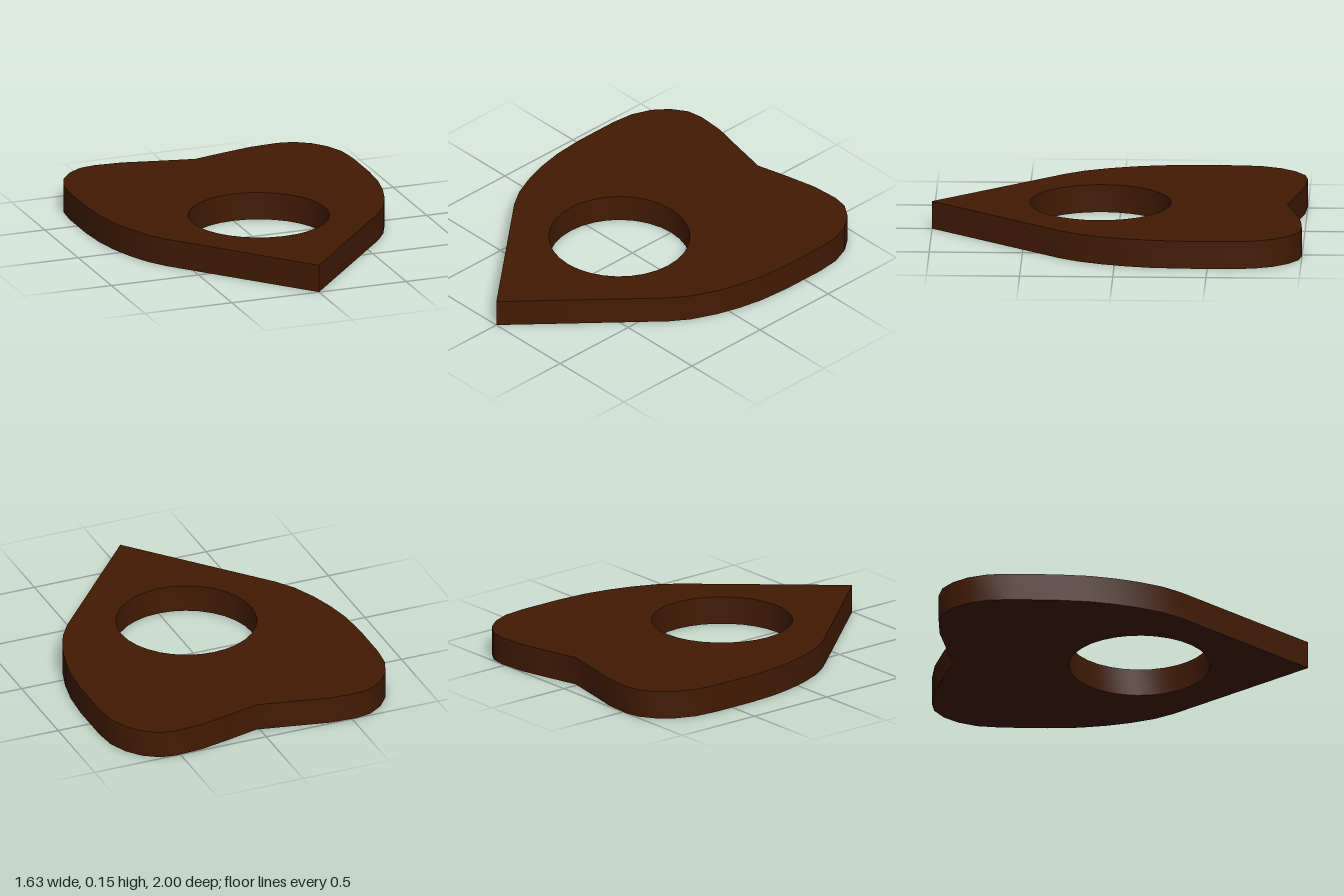
import * as THREE from 'three';
import { toCreasedNormals } from 'three/addons/utils/BufferGeometryUtils.js';

export function createModel() {
  const group = new THREE.Group();
  group.name = 'planchette';

  const darkWood = new THREE.MeshStandardMaterial({ color: 0x421b03 });
  darkWood.name = 'darkWood';

  // Half outline [x, z], from beside the rear notch around to the front flank
  const half = [
    [0.2, -0.952], [0.37, -0.99], [0.525, -1], [0.612, -0.985], [0.695, -0.93],
    [0.758, -0.85], [0.8, -0.745], [0.813, -0.62], [0.813, -0.37], [0.8, -0.2],
    [0.772, -0.06], [0.732, 0.07], [0.675, 0.2], [0.607, 0.3],
  ];
  const outline = [
    [0.018, -0.906], // rear notch
    ...half,
    [0, 1], // front tip
    ...half.map(([x, z]) => [-x, z]).reverse(),
  ];

  // Heart-shaped board with a round viewing hole, wound opposite to the outline
  const shape = new THREE.Shape(outline.map(([x, z]) => new THREE.Vector2(x, -z)));
  const hole = new THREE.Path();
  hole.absarc(0, -0.096, 0.379, 0, Math.PI * 2, false);
  shape.holes.push(hole);

  let geometry = new THREE.ExtrudeGeometry(shape, {
    depth: 0.152, bevelEnabled: false, curveSegments: 16,
  });
  geometry.rotateX(-Math.PI / 2); // lay flat, standing on y = 0
  geometry = toCreasedNormals(geometry, 0.6);

  const board = new THREE.Mesh(geometry, darkWood);
  board.name = 'board';
  group.add(board);
  return group;
}
